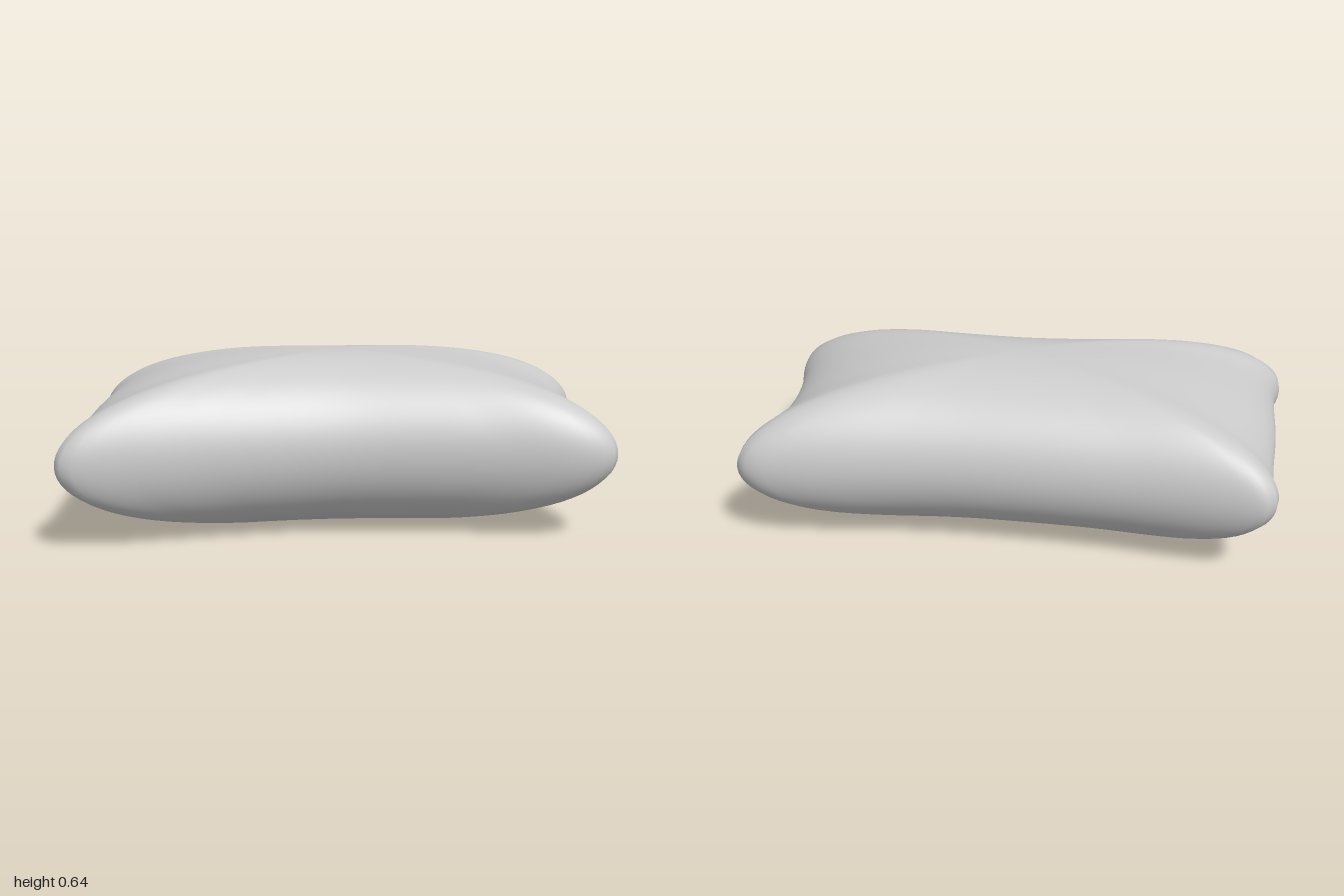
import * as THREE from 'three';

const HALF = 0.322; // half the thickness of the pillow

// Seam outline seen from above as [x, z]: concave edges, pulled-out corners
const SEAM = [
  [0.91, 0], [0.93, 0.2], [0.965, 0.35], [0.965, 0.42], [0.92, 0.455], [0.82, 0.465],
  [0.5, 0.425], [0, 0.385], [-0.4, 0.42], [-0.7, 0.468], [-0.92, 0.5], [-0.98, 0.492],
  [-1, 0.45], [-0.972, 0.33], [-0.955, 0], [-0.93, -0.25], [-0.925, -0.38], [-0.935, -0.46],
  [-0.9, -0.505], [-0.83, -0.508], [-0.4, -0.46], [0.15, -0.435], [0.4, -0.442],
  [0.8, -0.475], [0.93, -0.47], [0.99, -0.43], [0.96, -0.33], [0.92, -0.2],
];

function pillowGeometry(sides = 140, rings = 48) {
  const curve = new THREE.CatmullRomCurve3(
    SEAM.map(([x, z]) => new THREE.Vector3(x, 0, z)), true, 'centripetal');
  const outline = curve.getSpacedPoints(sides).slice(0, sides);
  const pos = [0, HALF * 2, 0];
  const index = [];

  // Rings from the top pole to the bottom pole, swelling out to the seam
  for (let i = 1; i < rings; i++) {
    const phi = (i / rings) * Math.PI;
    const s = Math.sin(phi);
    const y = HALF + Math.sign(Math.cos(phi)) * HALF * Math.sqrt(Math.max(0, 1 - s ** 2.15));
    const round = 0.7 * (1 - s) ** 2; // the corners soften towards the middle
    for (const p of outline) {
      const a = Math.atan2(p.z / 0.43, p.x / 0.95);
      pos.push(
        s * THREE.MathUtils.lerp(p.x, 0.97 * Math.cos(a), round), y,
        s * THREE.MathUtils.lerp(p.z, 0.46 * Math.sin(a), round));
    }
  }
  pos.push(0, 0, 0);

  const last = pos.length / 3 - 1;
  const at = (i, j) => 1 + i * sides + (j % sides);
  for (let j = 0; j < sides; j++) {
    index.push(0, at(0, j + 1), at(0, j));
    for (let i = 0; i < rings - 2; i++) {
      index.push(at(i, j), at(i, j + 1), at(i + 1, j));
      index.push(at(i, j + 1), at(i + 1, j + 1), at(i + 1, j));
    }
    index.push(last, at(rings - 2, j), at(rings - 2, j + 1));
  }

  const geometry = new THREE.BufferGeometry();
  geometry.setAttribute('position', new THREE.Float32BufferAttribute(pos, 3));
  geometry.setIndex(index);
  geometry.computeVertexNormals();
  return geometry;
}

export function createModel() {
  const group = new THREE.Group();
  group.name = 'pillow';
  const cushion = new THREE.Mesh(
    pillowGeometry(), new THREE.MeshStandardMaterial({ color: 0xcccccc }));
  cushion.name = 'cushion';
  group.add(cushion);
  return group;
}
